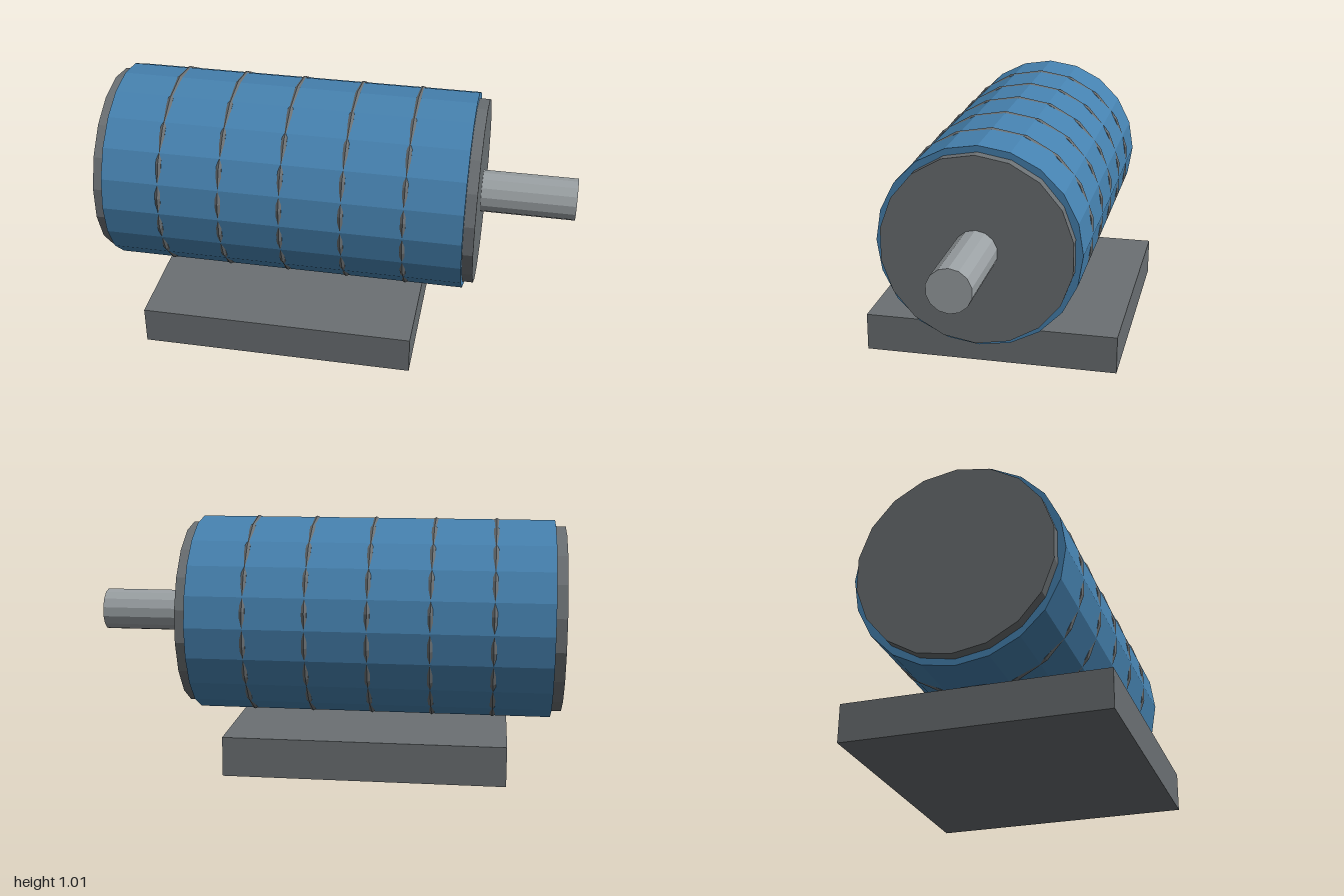
import * as THREE from 'three';

const AXIS_Y = 0.585;   // height of the motor axis
const MID_X = -0.2;     // middle of the housing along x

const paint = (color) => new THREE.MeshStandardMaterial({ color, flatShading: true });

export function createModel() {
  const model = new THREE.Group();
  model.name = 'electricMotor';
  const steel = paint(0x6b7073);
  const blue = paint(0x4682b0);
  const bright = paint(0x9ba1a4);

  const add = (name, geometry, material, x, y) => {
    const mesh = new THREE.Mesh(geometry, material);
    mesh.name = name;
    mesh.position.set(x, y, 0);
    model.add(mesh);
    return mesh;
  };

  // Cylinder lying along x, with a corner at its top and bottom
  const bar = (name, radius, x0, x1, sides, material) => {
    const geometry = new THREE.CylinderGeometry(radius, radius, x1 - x0, sides)
      .rotateY(Math.PI / 2)
      .rotateZ(-Math.PI / 2);
    return add(name, geometry, material, (x0 + x1) / 2, AXIS_Y);
  };

  // Core shows as the end caps; the casing wraps around it
  bar('core', 0.396, -1, 0.6, 18, steel);
  bar('casing', 0.422, -0.955, 0.555, 20, blue);
  bar('shaft', 0.09, 0.6, 1, 14, bright);

  // Cooling rings, half sunk into the casing
  const ringGeometry = new THREE.TorusGeometry(0.415, 0.013, 6, 18)
    .rotateZ(Math.PI / 2)
    .rotateY(Math.PI / 2);
  for (let i = -2; i <= 2; i++) {
    add('coolingRing', ringGeometry, steel, MID_X + i * 0.256, AXIS_Y);
  }

  // Mounting base
  add('base', new THREE.BoxGeometry(1.145, 0.162, 1.085), steel, MID_X, 0.081);

  return model;
}
